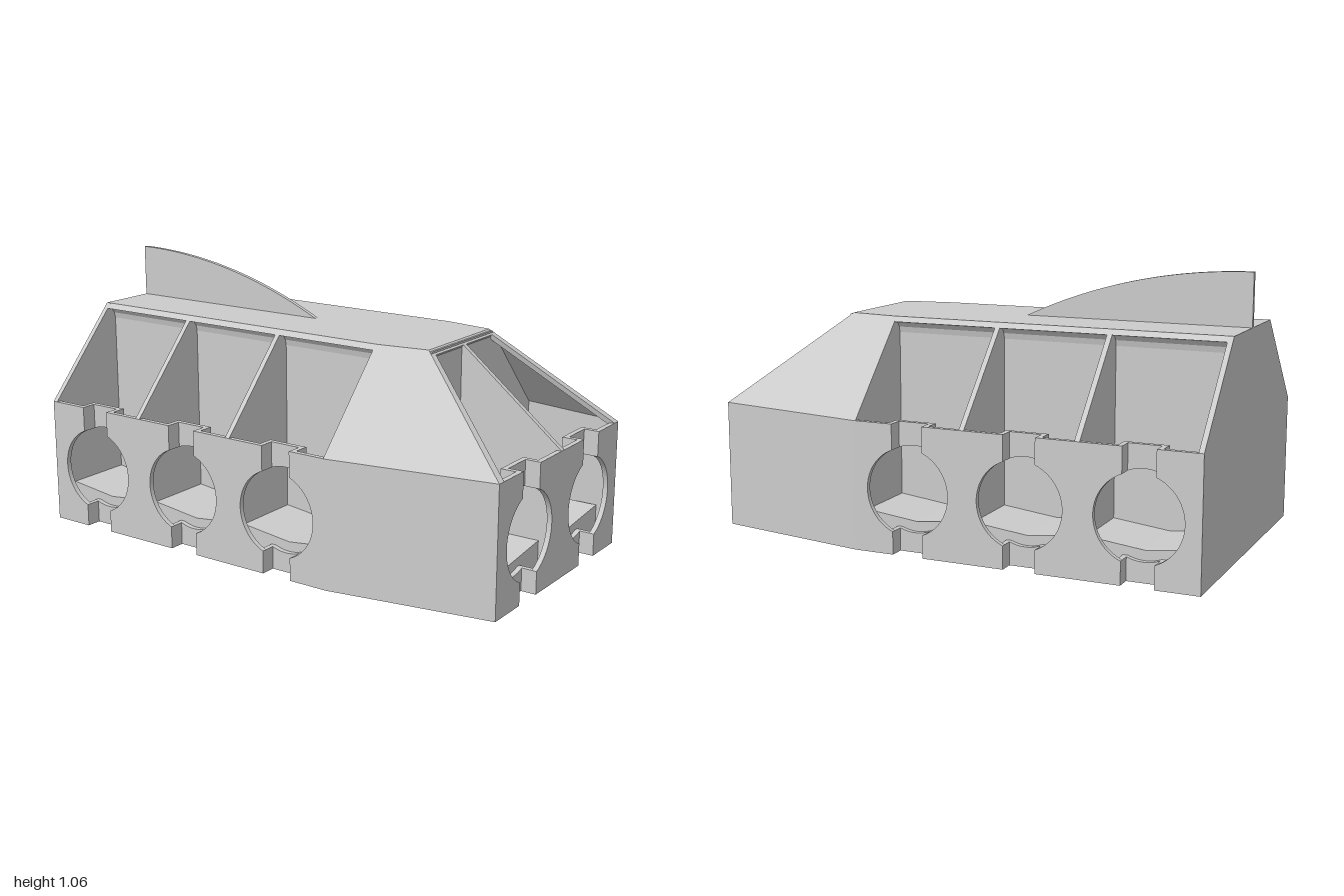
import * as THREE from 'three';

const T = 0.02;          // sheet thickness
const WALL = 0.5;        // height of the vertical walls
const TOP = 0.855;       // roof height
const KINK = 0.36;       // where the nose starts to taper
const R = 0.168, CY = 0.245, W = 0.0625, DEPTH = 0.08; // round ports and notches
const TH = Math.acos(W / R), RISE = R * Math.sin(TH);

const material = new THREE.MeshStandardMaterial({ color: 0xcccccc, flatShading: true, side: THREE.DoubleSide });

function mesh(name, geometry) {
  const m = new THREE.Mesh(geometry, material);
  m.name = name;
  return m;
}

function extrude(shape, depth) {
  const s = Array.isArray(shape) ? new THREE.Shape(shape.map(([x, y]) => new THREE.Vector2(x, y))) : shape;
  return new THREE.ExtrudeGeometry(s, { depth, bevelEnabled: false, curveSegments: 24 });
}

// Cross-section (z, y) swept along x
const section = (name, pts, x0, x1) =>
  mesh(name, extrude(pts, x1 - x0).rotateY(Math.PI / 2).translate(x0, 0, 0));

// Plan outline (x, z) raised along y
const plan = (name, pts, y0, y1) =>
  mesh(name, extrude(pts, y1 - y0).rotateX(-Math.PI / 2).translate(0, y0, 0));

// Closes a half outline symmetrically about the first coordinate
const mirrorX = half => [...half, ...half.map(([a, b]) => [-a, b]).reverse()];
const mirrorZ = half => [...half, ...half.map(([a, b]) => [a, -b]).reverse()];

// Wall with round ports, each split by a vertical recessed notch; outer face on local z = 0
function portedWall(name, x0, x1, centres) {
  const g = new THREE.Group();
  g.name = name;
  for (let i = 0; i <= centres.length; i++) {
    const l = centres[i - 1], r = centres[i];
    const a = i ? l + W : x0, b = i < centres.length ? r - W : x1;
    const s = new THREE.Shape().moveTo(a, 0).lineTo(b, 0);
    if (i < centres.length) s.absarc(r, CY, R, Math.PI + TH, Math.PI - TH, true);
    s.lineTo(b, WALL).lineTo(a, WALL);
    if (i) s.absarc(l, CY, R, TH, -TH, true);
    g.add(mesh('wallPanel', extrude(s, T).translate(0, 0, -T)));
  }
  for (const c of centres) {
    const low = new THREE.Shape().moveTo(c - W, 0).lineTo(c + W, 0)
      .absarc(c, CY, R, -TH, TH - Math.PI, true);
    const high = new THREE.Shape().moveTo(c + W, WALL).lineTo(c - W, WALL)
      .absarc(c, CY, R, Math.PI - TH, TH, true);
    for (const s of [low, high]) g.add(mesh('notchBack', extrude(s, T).translate(0, 0, -DEPTH)));
    // Cheeks joining the notch back to the wall
    for (const side of [-1, 1])
      for (const [y0, y1] of [[0, CY - RISE], [CY + RISE, WALL]])
        g.add(mesh('notchCheek', new THREE.BoxGeometry(T, y1 - y0, DEPTH)
          .translate(c + side * (W + T / 2), (y0 + y1) / 2, -DEPTH / 2)));
  }
  return g;
}

// Thin four-cornered panel
function quad(name, p) {
  const geo = new THREE.BufferGeometry();
  geo.setAttribute('position', new THREE.Float32BufferAttribute(p.flat(), 3));
  geo.setIndex([0, 1, 2, 0, 2, 3]);
  geo.computeVertexNormals();
  return mesh(name, geo);
}

export function createModel() {
  const model = new THREE.Group();
  model.name = 'hull';
  const ports = [-0.77, -0.318, 0.135];

  // Ported walls on both sides and at the nose
  const left = portedWall('leftWall', -1, KINK, ports);
  left.position.z = 0.58;
  const right = portedWall('rightWall', -KINK, 1, ports.map(c => -c).reverse());
  right.rotation.y = Math.PI;
  right.position.z = -0.58;
  const nose = portedWall('noseWall', -0.47, 0.47, [-0.235, 0.235]);
  nose.rotation.y = Math.PI / 2;
  nose.position.x = 1;
  model.add(left, right, nose);

  // Base plate, notched at the nose
  const n0 = 0.235 - W, n1 = 0.235 + W;
  model.add(plan('basePlate', mirrorZ([
    [-1, 0.5], [0.35, 0.5], [0.35, 0.58], [KINK, 0.58], [1, 0.47],
    [1, n1], [1 - DEPTH, n1], [1 - DEPTH, n0], [1, n0],
  ]), 0, T));

  // End wall, bay dividers and bulkheads
  const hullSection = mirrorX([[0.58, 0], [0.58, WALL], [0.25, TOP]]);
  ['endWall', 'bayDivider', 'bayDivider', 'bulkhead'].forEach((name, i) =>
    model.add(section(name, hullSection, [-1, -0.55, -0.1, 0.35][i], [-0.98, -0.53, -0.08, KINK][i])));
  model.add(section('noseBulkhead', mirrorX([[0.54, 0], [0.54, WALL], [0.22, 0.85]]), 0.555, 0.575));
  model.add(mesh('noseDivider',
    extrude([[0.56, 0], [0.99, 0], [0.99, WALL], [0.56, 0.85]], T).translate(0, 0, -T / 2)));

  // Central core, flared under the roof
  model.add(section('core', mirrorX([
    [0.225, 0], [0.225, 0.79], [0.23, 0.812], [0.242, 0.828], [0.262, 0.838],
  ]), -0.99, 0.355));

  // Roof
  model.add(section('roof', mirrorX([[0.268, 0.835], [0.25, TOP]]), -1, KINK));
  model.add(plan('noseRoof', mirrorZ([[KINK, 0.25], [0.56, 0.22]]), TOP - T, TOP));

  // Shallow V-shaped bay floors
  const vFloor = (a, b, c) => [[a, 0.005], [b, 0.005], [b, 0.14], [c, 0.115], [a, 0.14]];
  [[-0.98, -0.55], [-0.53, -0.1], [-0.08, 0.35]].forEach(([a, b], i) => {
    model.add(mesh('bayFloor', extrude(vFloor(a, b, ports[i]), 1).translate(0, 0, -0.5)));
  });
  model.add(section('noseFloor', vFloor(0.01, 0.48, 0.235), 0.57, 0.92));
  model.add(section('noseFloor', vFloor(-0.48, -0.01, -0.235), 0.57, 0.92));

  // Tapered nose sides
  for (const s of [1, -1]) {
    const lower = [[KINK, 0, 0.58 * s], [1, 0, 0.47 * s], [1, WALL, 0.47 * s], [KINK, WALL, 0.58 * s]];
    const upper = [[KINK, WALL, 0.58 * s], [1, WALL, 0.47 * s], [0.56, TOP, 0.22 * s], [KINK, TOP, 0.25 * s]];
    for (const [name, p] of [['noseSide', lower], ['noseShoulder', upper]])
      model.add(quad(name, s > 0 ? p : p.reverse()));
  }

  // Sloping window frame on the nose
  const run = 0.44, rise = TOP - WALL, len = Math.hypot(run, rise);
  const frame = mesh('noseFrame', extrude(mirrorX([
    [0.22, len], [0.47, 0], [0.437, 0], [0.205, len - 0.028], [0.01, len - 0.028], [0.01, 0],
  ]), T).translate(0, 0, -T));
  frame.applyMatrix4(new THREE.Matrix4().makeBasis(
    new THREE.Vector3(0, 0, -1),
    new THREE.Vector3(-run / len, rise / len, 0),
    new THREE.Vector3(rise / len, run / len, 0),
  ).setPosition(1, WALL, 0));
  model.add(frame);

  // Fin with an arched top edge
  const finR = 2.08, a = Math.asin(0.9 / finR);
  const fin = new THREE.Shape().moveTo(-1, TOP - 0.01).lineTo(-0.1, TOP - 0.01)
    .absarc(-1, 1.06 - finR, finR, Math.PI / 2 - a, Math.PI / 2, false);
  model.add(mesh('fin', extrude(fin, 0.018).translate(0, 0, -0.009)));

  return model;
}
